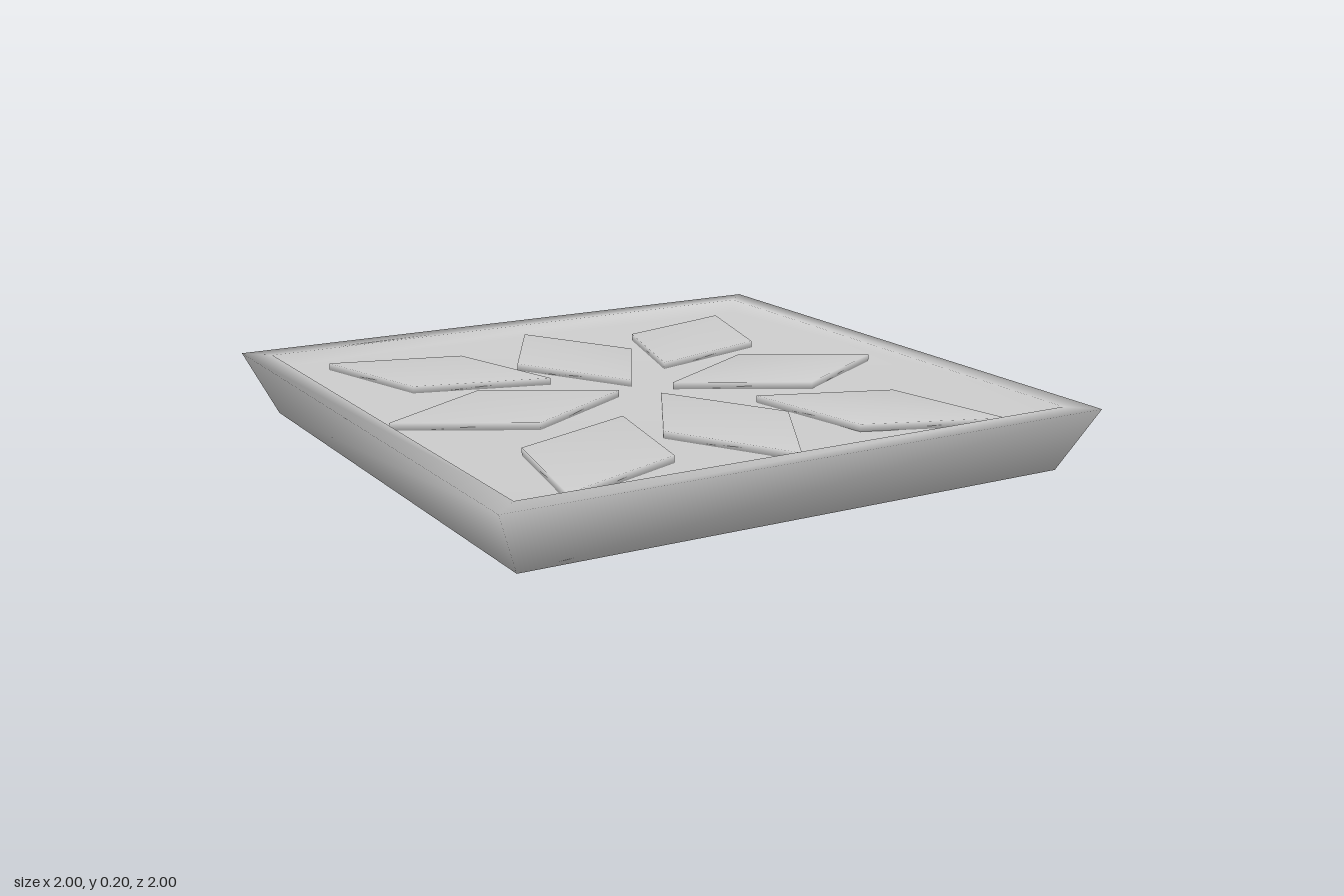
import * as THREE from 'three';

const material = new THREE.MeshStandardMaterial({ color: 0xcccccc });

// Order four [x, z] corners counter-clockwise as seen from above
function orient(ring) {
  let area = 0;
  ring.forEach(([x, z], i) => {
    const [nx, nz] = ring[(i + 1) % ring.length];
    area += x * nz - nx * z;
  });
  return area > 0 ? [...ring].reverse() : ring;
}

// Smooth-shaded closed skin through four-cornered rings, capped at both ends
function loft(name, rings) {
  const positions = [];
  const index = [];
  for (const { ring, y } of rings) {
    for (const [x, z] of ring) positions.push(x, y, z);
  }
  index.push(0, 3, 2, 0, 2, 1);
  for (let i = 0; i < rings.length - 1; i++) {
    for (let j = 0; j < 4; j++) {
      const k = (j + 1) % 4;
      const a = i * 4 + j, b = i * 4 + k;
      index.push(a, b, b + 4, a, b + 4, a + 4);
    }
  }
  const t = (rings.length - 1) * 4;
  index.push(t, t + 1, t + 2, t, t + 2, t + 3);

  const geometry = new THREE.BufferGeometry();
  geometry.setAttribute('position', new THREE.Float32BufferAttribute(positions, 3));
  geometry.setIndex(index);
  geometry.computeVertexNormals();
  const mesh = new THREE.Mesh(geometry, material);
  mesh.name = name;
  return mesh;
}

const square = (h) => orient([[h, h], [h, -h], [-h, -h], [-h, h]]);

export function createModel() {
  const group = new THREE.Group();
  group.name = 'ornamentalTile';

  // Flared tray: underside, sloping sides, flat rim, recessed floor
  const floorY = 0.155;
  group.add(loft('tray', [
    { ring: square(0.91), y: 0 },
    { ring: square(1), y: 0.2 },
    { ring: square(0.92), y: 0.2 },
    { ring: square(0.92), y: floorY },
  ]));

  // Raised petals arranged as an eight-pointed rosette
  const petals = new THREE.Group();
  petals.name = 'petals';
  group.add(petals);
  const addPetal = (name, ring) => {
    const r = orient(ring);
    petals.add(loft(name, [{ ring: r, y: floorY - 0.005 }, { ring: r, y: 0.178 }]));
  };

  for (const s of [1, -1]) {
    const side = s > 0 ? 'Left' : 'Right';
    // Petals along the two axes
    addPetal(s > 0 ? 'frontPetal' : 'backPetal',
      [[0, 0.095 * s], [0.22, 0.48 * s], [0, 0.87 * s], [-0.22, 0.48 * s]]);
    addPetal(`side${side}Petal`,
      [[0.1 * s, 0], [0.49 * s, 0.22], [0.88 * s, 0], [0.49 * s, -0.22]]);
    // Corner petals, mirrored left to right
    addPetal(`back${side}Petal`,
      [[0.765 * s, -0.8], [0.335 * s, -0.68], [0.215 * s, -0.25], [0.645 * s, -0.37]]);
    addPetal(`front${side}Petal`,
      [[0.74 * s, 0.87], [0.655 * s, 0.43], [0.24 * s, 0.275], [0.32 * s, 0.71]]);
  }

  return group;
}
